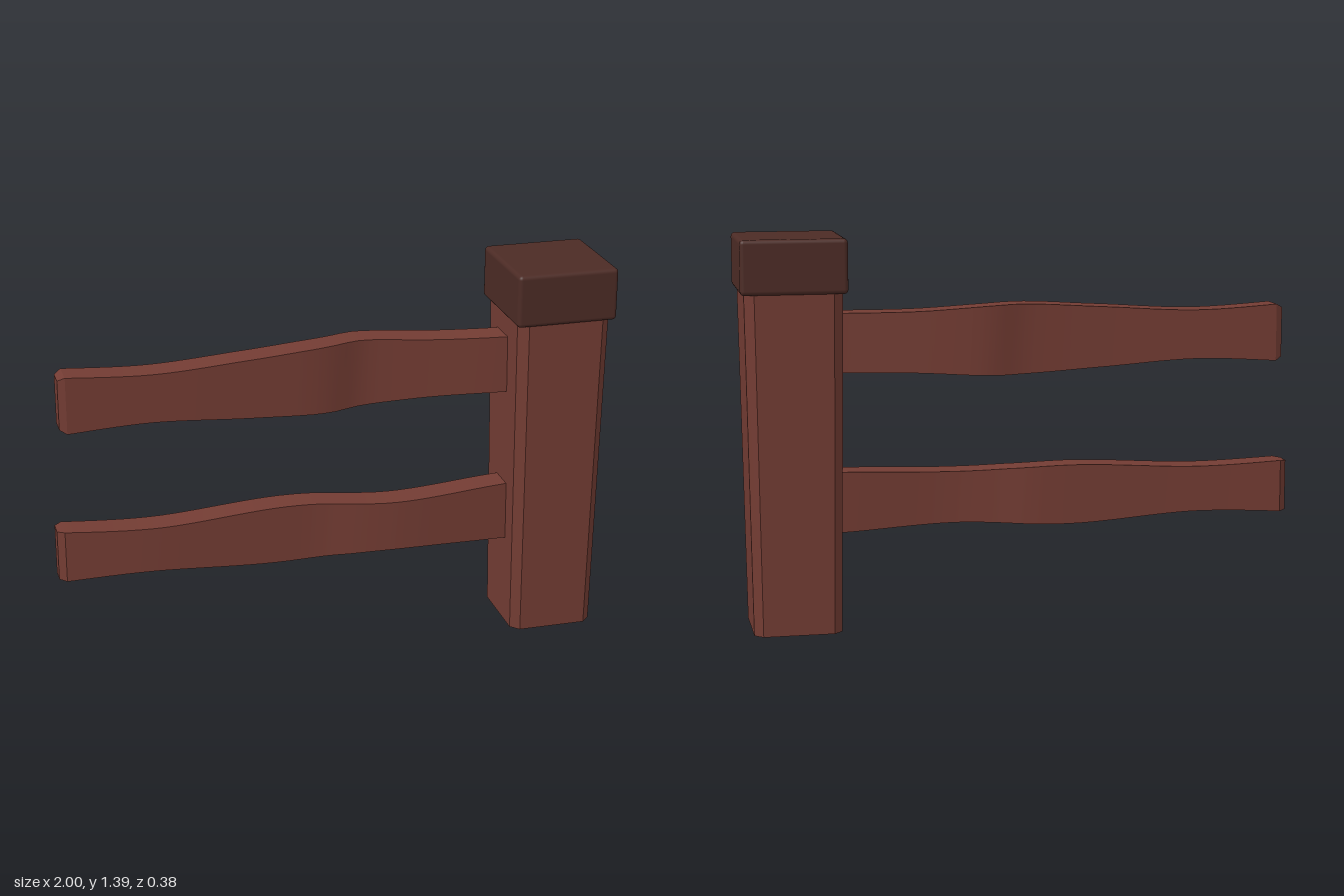
import * as THREE from 'three';
import { RoundedBoxGeometry } from 'three/addons/geometries/RoundedBoxGeometry.js';
import { toCreasedNormals } from 'three/addons/utils/BufferGeometryUtils.js';

const wood = new THREE.MeshStandardMaterial({ color: 0x733c33 });
const darkWood = new THREE.MeshStandardMaterial({ color: 0x4c2b25 });

const POST_X = 0.81;

// Smooth curve through [x, value] points, sampled by x
function profile(points) {
  const samples = new THREE.SplineCurve(points.map(([x, v]) => new THREE.Vector2(x, v))).getPoints(200);
  return (x) => {
    const i = samples.findIndex((p) => p.x >= x);
    if (i < 0) return samples[samples.length - 1].y;
    if (i === 0) return samples[0].y;
    const a = samples[i - 1], b = samples[i];
    return a.y + (b.y - a.y) * (x - a.x) / (b.x - a.x);
  };
}

// Hewn rail: a box bent to its outlines, its free end bevelled
function makeRail(name, start, top, bottom, front, back, bevelY, bevelZ) {
  const segments = 41, end = 0.8, bevel = 0.025;
  const geometry = new THREE.BoxGeometry(1, 1, 1, segments, 1, 1);
  const pos = geometry.attributes.position;
  const [topAt, bottomAt, frontAt, backAt] = [top, bottom, front, back].map(profile);
  for (let i = 0; i < pos.count; i++) {
    const step = Math.round((pos.getX(i) + 0.5) * segments);
    const x = step === 0 ? start : start + bevel + (end - start - bevel) * (step - 1) / (segments - 1);
    const sy = Math.sign(pos.getY(i)), sz = Math.sign(pos.getZ(i));
    let y = sy > 0 ? topAt(x) : bottomAt(x);
    let z = sz > 0 ? frontAt(x) : backAt(x);
    if (step === 0) {
      y -= sy * bevelY;
      z -= sz * bevelZ;
    }
    pos.setXYZ(i, x, y, z);
  }
  const mesh = new THREE.Mesh(toCreasedNormals(geometry, 0.5), wood);
  mesh.name = name;
  return mesh;
}

// Tapered post with chamfered corners, wider at the top
function makePost() {
  const w = 0.155, d = 0.16, c = 0.03, height = 1.22;
  const outline = new THREE.Shape([
    [w, d - c], [w - c, d], [c - w, d], [-w, d - c],
    [-w, c - d], [c - w, -d], [w - c, -d], [w, c - d],
  ].map(([x, y]) => new THREE.Vector2(x, y)));
  const geometry = new THREE.ExtrudeGeometry(outline, { depth: height, bevelEnabled: false });
  geometry.rotateX(-Math.PI / 2);
  const pos = geometry.attributes.position;
  for (let i = 0; i < pos.count; i++) {
    const t = pos.getY(i) / height;
    pos.setX(i, pos.getX(i) * (1 + 0.1 * t));
    pos.setZ(i, pos.getZ(i) * (1 + 0.125 * t));
  }
  geometry.computeVertexNormals();
  const mesh = new THREE.Mesh(geometry, wood);
  mesh.name = 'post';
  mesh.position.x = POST_X;
  return mesh;
}

export function createModel() {
  const group = new THREE.Group();
  group.name = 'fence';
  group.add(makePost());

  // Cap on the post
  const cap = new THREE.Mesh(new RoundedBoxGeometry(0.37, 0.19, 0.385, 3, 0.015), darkWood);
  cap.name = 'postCap';
  cap.position.set(POST_X, 1.295, 0);
  group.add(cap);

  group.add(makeRail('upperRail', -0.975,
    [[-0.975, 1.118], [-0.65, 1.102], [-0.3, 1.122], [0.04, 1.14], [0.4, 1.122], [0.8, 1.12]],
    [[-0.975, 0.908], [-0.65, 0.925], [-0.3, 0.905], [0.04, 0.89], [0.4, 0.907], [0.8, 0.91]],
    [[-0.975, 0.045], [-0.5, 0.052], [-0.12, 0.045], [0, 0.03], [0.12, -0.004], [0.3, 0.008], [0.6, 0.042], [0.8, 0.055]],
    [[-0.975, -0.055], [-0.4, -0.056], [-0.12, -0.063], [0, -0.074], [0.12, -0.106], [0.3, -0.098], [0.6, -0.064], [0.8, -0.05]],
    0.015, 0.015));

  group.add(makeRail('lowerRail', -1,
    [[-1, 0.541], [-0.65, 0.528], [-0.2, 0.552], [0.22, 0.538], [0.6, 0.553], [0.8, 0.558]],
    [[-1, 0.349], [-0.65, 0.362], [-0.2, 0.337], [0.22, 0.352], [0.6, 0.338], [0.8, 0.333]],
    [[-1, 0.04], [-0.6, 0.063], [-0.1, 0.05], [0.08, 0.073], [0.27, 0.086], [0.6, 0.063], [0.8, 0.05]],
    [[-1, -0.058], [-0.6, -0.045], [-0.1, -0.056], [0.08, -0.035], [0.27, -0.022], [0.6, -0.042], [0.8, -0.05]],
    0.004, 0.02));

  return group;
}
